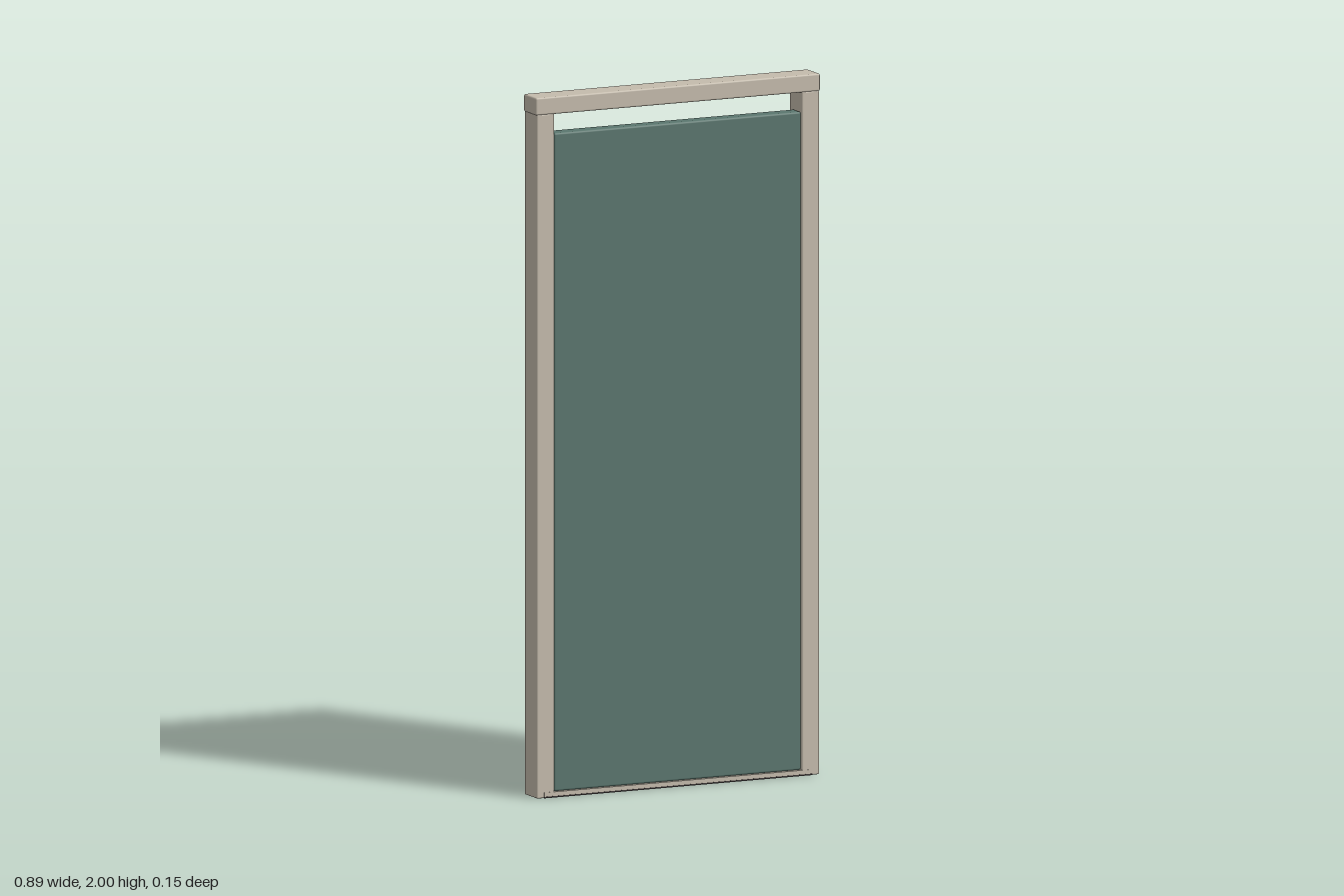
import * as THREE from 'three';
import { RoundedBoxGeometry } from 'three/addons/geometries/RoundedBoxGeometry.js';

function material(name, color) {
  const m = new THREE.MeshStandardMaterial({ color });
  m.name = name;
  return m;
}

export function createModel() {
  const root = new THREE.Group();
  root.name = 'door';
  const stone = material('warm beige', 0xc4bbac);
  const green = material('muted green', 0x5a766e);
  const brass = material('aged brass', 0xa98245);
  const dark = material('dark seal', 0x3a3434);

  function add(name, geometry, mat, parent = root) {
    const mesh = new THREE.Mesh(geometry, mat);
    mesh.name = name;
    parent.add(mesh);
    return mesh;
  }

  // Box given by its limits, with optional softened edges
  function box(name, [x0, x1], [y0, y1], [z0, z1], mat, r = 0, parent = root) {
    const w = x1 - x0, h = y1 - y0, d = z1 - z0;
    const g = r ? new RoundedBoxGeometry(w, h, d, 2, r) : new THREE.BoxGeometry(w, h, d);
    g.translate((x0 + x1) / 2, (y0 + y1) / 2, (z0 + z1) / 2);
    return add(name, g, mat, parent);
  }

  // Frame
  box('header', [-0.445, 0.445], [1.95, 2], [-0.01, 0.07], stone, 0.005);
  box('leftJamb', [0.388, 0.442], [0, 1.952], [-0.01, 0.07], stone, 0.004);
  box('rightJamb', [-0.442, -0.388], [0, 1.952], [-0.01, 0.07], stone, 0.004);
  box('threshold', [-0.42, 0.42], [0.004, 0.016], [-0.028, 0.071], stone);
  box('thresholdSeal', [-0.42, 0.42], [0, 0.004], [-0.022, 0.072], dark);

  // Door leaf
  box('doorLeaf', [-0.387, 0.387], [0.016, 1.895], [0.02, 0.066], green, 0.006);

  // Six panel mouldings on the back
  const mouldings = new THREE.Group();
  mouldings.name = 'panelMouldings';
  root.add(mouldings);
  const rows = [[0.1, 0.585], [0.7, 1.265], [1.36, 1.81]];
  const width = 0.325, bar = 0.013;
  for (const [y0, y1] of rows) {
    const h = y1 - y0;
    const shape = new THREE.Shape([
      new THREE.Vector2(-width / 2, -h / 2), new THREE.Vector2(width / 2, -h / 2),
      new THREE.Vector2(width / 2, h / 2), new THREE.Vector2(-width / 2, h / 2),
    ]);
    const a = width / 2 - bar, b = h / 2 - bar;
    shape.holes.push(new THREE.Path([
      new THREE.Vector2(-a, -b), new THREE.Vector2(-a, b),
      new THREE.Vector2(a, b), new THREE.Vector2(a, -b),
    ]));
    const g = new THREE.ExtrudeGeometry(shape, {
      depth: 0.009, bevelEnabled: true, bevelSize: 0.002, bevelThickness: 0.003,
      bevelOffset: -0.002, bevelSegments: 1,
    });
    for (const side of [-1, 1]) {
      add('panelMoulding', g, stone, mouldings).position.set(side * 0.186, (y0 + y1) / 2, 0.013);
    }
  }

  // Hinges: leaf plate and knuckle
  for (const y of [0.305, 0.945, 1.68]) {
    const hinge = new THREE.Group();
    hinge.name = 'hinge';
    root.add(hinge);
    box('hingePlate', [-0.388, -0.364], [y - 0.032, y + 0.032], [0.004, 0.022], brass, 0.002, hinge);
    add('hingeKnuckle', new THREE.CylinderGeometry(0.008, 0.008, 0.068, 16), brass, hinge)
      .position.set(-0.381, y, 0.004);
  }

  // Handle: backplate, rosette and curved lever
  const handle = new THREE.Group();
  handle.name = 'handle';
  root.add(handle);
  box('backplate', [0.252, 0.312], [0.793, 0.912], [0, 0.022], brass, 0.004, handle);
  const rosette = add('rosette', new THREE.SphereGeometry(0.02, 24, 16), brass, handle);
  rosette.scale.z = 0.65;
  rosette.position.set(0.281, 0.885, -0.021);
  const stem = add('stem', new THREE.CylinderGeometry(0.014, 0.014, 0.03, 20), brass, handle);
  stem.rotation.x = Math.PI / 2;
  stem.position.set(0.281, 0.885, -0.006);
  const path = new THREE.CatmullRomCurve3([
    [0.283, -0.02], [0.286, -0.044], [0.276, -0.06], [0.257, -0.066], [0.233, -0.063], [0.209, -0.06],
  ].map(([x, z]) => new THREE.Vector3(x, 0.885, z)));
  add('lever', new THREE.TubeGeometry(path, 32, 0.01, 14), brass, handle);
  const cap = add('leverEnd', new THREE.CircleGeometry(0.01, 14), brass, handle);
  cap.position.copy(path.getPoint(1));
  cap.lookAt(cap.position.clone().add(path.getTangent(1)));

  return root;
}
